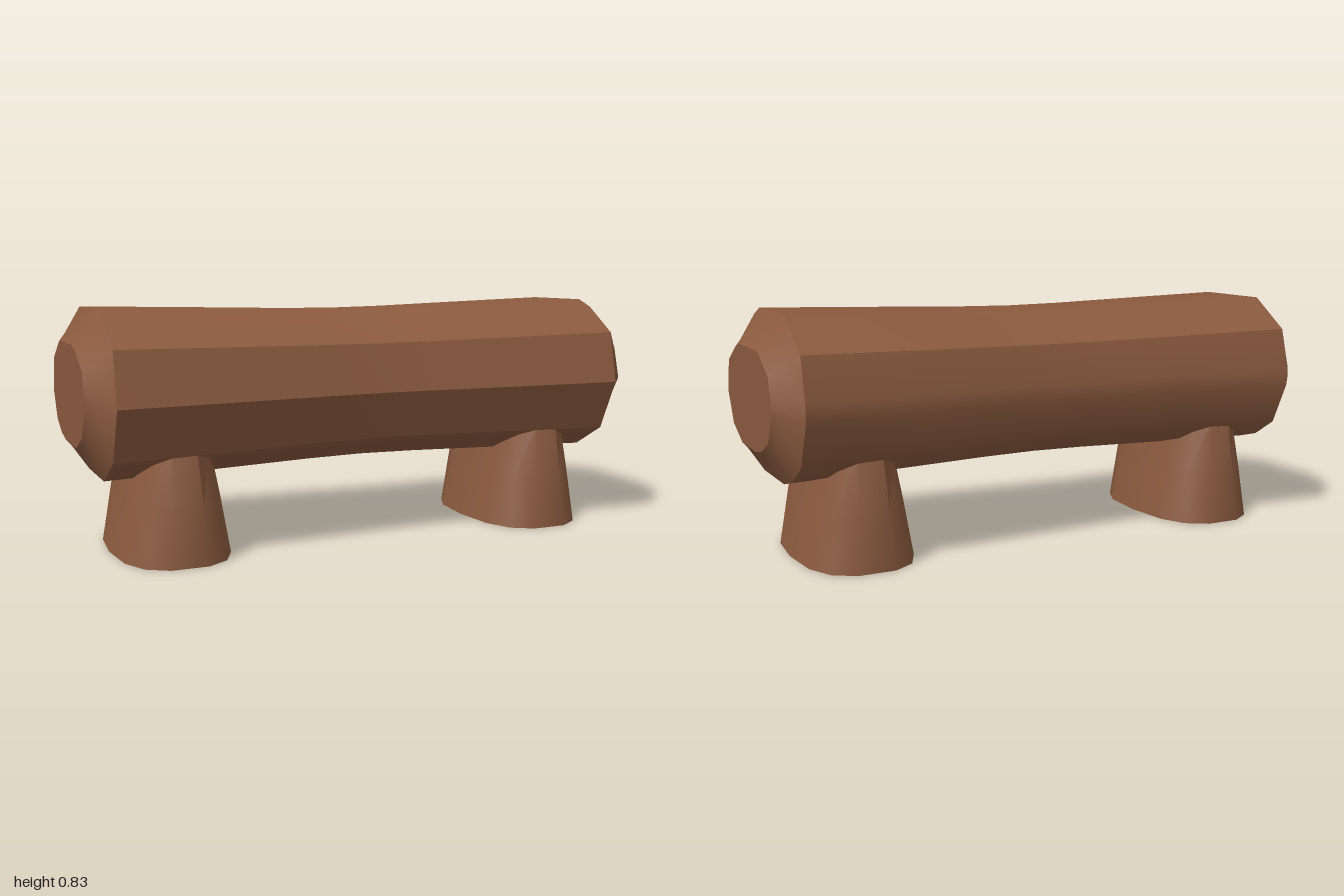
import * as THREE from 'three';
import { toCreasedNormals } from 'three/addons/utils/BufferGeometryUtils.js';

// Skin a stack of rings (counterclockwise seen from the far end) and close both ends.
function loft(rings, crease) {
  const n = rings[0].length, last = rings.length - 1;
  const pos = rings.flat(2), index = [];
  for (let i = 0; i < last; i++) {
    for (let j = 0; j < n; j++) {
      const k = (j + 1) % n;
      const a = i * n + j, b = i * n + k, c = b + n, d = a + n;
      index.push(a, b, c, a, c, d);
    }
  }
  for (let j = 1; j < n - 1; j++) {
    index.push(0, j + 1, j);
    index.push(last * n, last * n + j, last * n + j + 1);
  }
  const geo = new THREE.BufferGeometry();
  geo.setAttribute('position', new THREE.Float32BufferAttribute(pos, 3));
  geo.setIndex(index);
  return toCreasedNormals(geo, crease);
}

export function createModel() {
  const model = new THREE.Group();
  model.name = 'logBench';
  const wood = new THREE.MeshStandardMaterial({ name: 'brownWood', color: 0x8c5b3f });

  // Log cross-section as [z, y]
  const section = [
    [0.13, 0.833], [0.2, 0.808], [0.335, 0.72], [0.374, 0.54], [0.29, 0.36],
    [0.14, 0.277], [-0.1, 0.277], [-0.2, 0.303], [-0.3, 0.365], [-0.37, 0.515],
    [-0.37, 0.575], [-0.335, 0.72], [-0.18, 0.829],
  ];
  // Stations along the log: [x, z scale, y scale], waisted in the middle, bevelled at the ends
  const half = [[0, 0.86, 0.92], [0.2, 0.88, 0.93], [0.5, 0.93, 0.96], [0.92, 0.99, 1],
    [0.98, 0.81, 0.68], [1, 0.75, 0.6]];
  const stations = [...half.slice(1).reverse().map(([x, a, b]) => [-x, a, b]), ...half];
  const midY = 0.55;
  const logRings = stations.map(([x, sz, sy]) =>
    section.map(([z, y]) => [x, midY + (y - midY) * sy, z * sz]));
  const log = new THREE.Mesh(loft(logRings, 0.6), wood);
  log.name = 'log';
  model.add(log);

  // Flared stump legs with rounded, slightly squared outlines
  const sides = 14;
  const ring = (y, rx, rz) => Array.from({ length: sides }, (_, i) => {
    const t = (i / sides) * Math.PI * 2, c = Math.cos(t), s = Math.sin(t);
    const soft = (v) => Math.sign(v) * Math.abs(v) ** 0.75;
    return [rx * soft(c), y, -rz * soft(s)];
  });
  const legGeo = loft([ring(0.004, 0.197, 0.32), ring(0.2, 0.163, 0.3), ring(0.37, 0.13, 0.28)], 0.7);
  for (const [name, x] of [['leftLeg', 0.685], ['rightLeg', -0.685]]) {
    const leg = new THREE.Mesh(legGeo, wood);
    leg.name = name;
    leg.position.x = x;
    model.add(leg);
  }
  return model;
}
